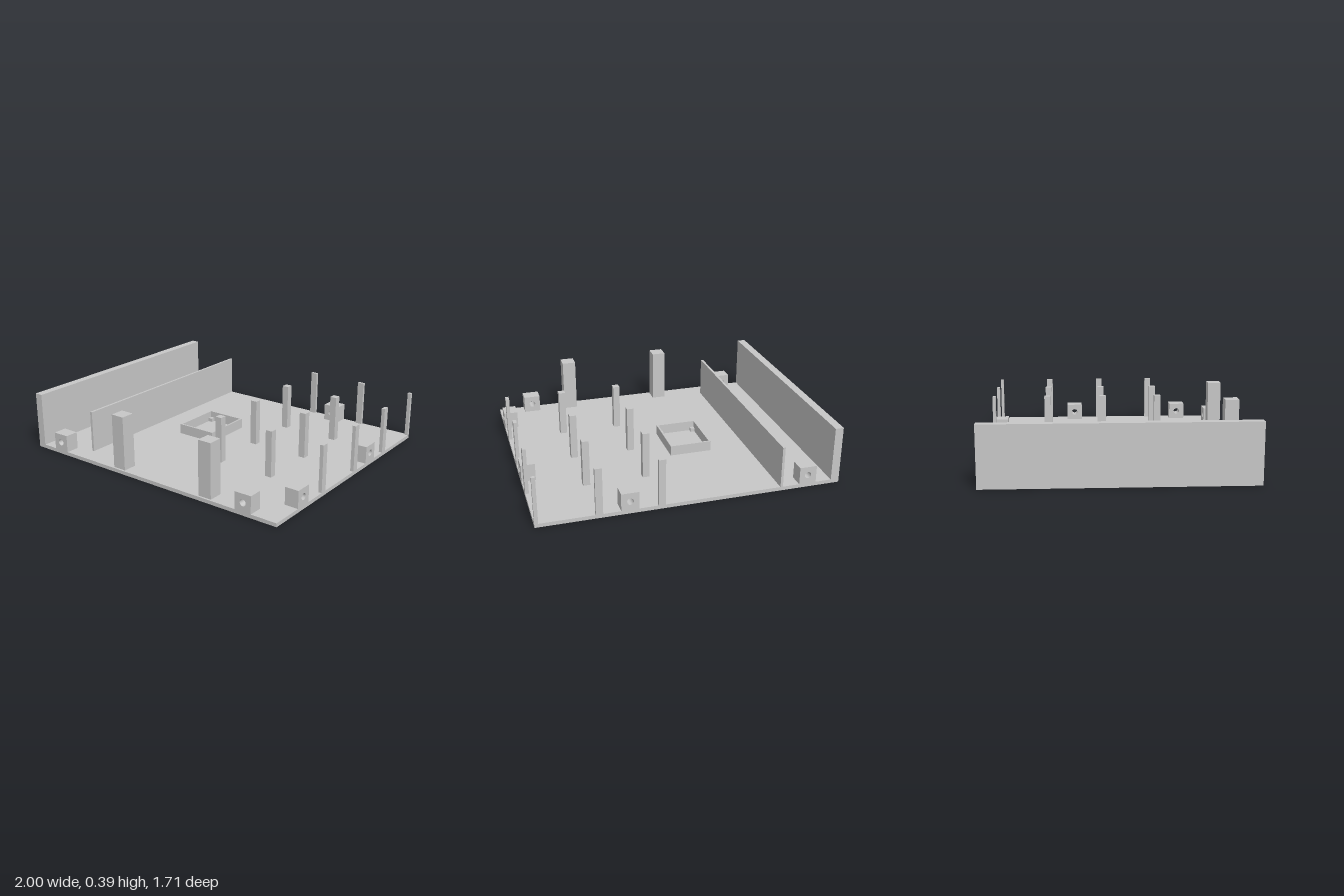
import * as THREE from 'three';

export function createModel() {
  const model = new THREE.Group();
  const gray = new THREE.MeshStandardMaterial({ color: 0xc7c7c7 });
  gray.name = 'light gray';
  const floor = 0.025;
  const back = -0.853, front = 0.853;

  const add = (name, geometry) => {
    const mesh = new THREE.Mesh(geometry, gray);
    mesh.name = name;
    model.add(mesh);
    return mesh;
  };
  // Box given by its limits on each axis
  const box = (name, x0, x1, y0, y1, z0, z1) =>
    add(name, new THREE.BoxGeometry(x1 - x0, y1 - y0, z1 - z0))
      .position.set((x0 + x1) / 2, (y0 + y1) / 2, (z0 + z1) / 2);
  const rect = (path, x0, x1, y0, y1) =>
    path.moveTo(x0, y0).lineTo(x1, y0).lineTo(x1, y1).lineTo(x0, y1).closePath();

  // Base plate and the two long walls
  box('basePlate', -1, 1, 0, floor, back, front);
  box('outerWall', -1, -0.944, floor, 0.392, back, front);
  box('thinWall', -0.605, -0.588, floor, 0.308, back, 0.73);

  // Grid of slim posts, cut off at the plate edges
  for (const [x0, x1] of [[0.181, 0.227], [0.579, 0.625], [0.976, 1]])
    for (const [z0, z1] of [[back, -0.832], [-0.482, -0.436], [-0.084, -0.038], [0.313, 0.359]])
      box('slimPost', x0, x1, floor, 0.34, z0, z1);

  // Two thick front posts
  for (const x of [-0.29, 0.419]) box('thickPost', x, x + 0.095, floor, 0.392, 0.744, 0.839);

  // Mounting blocks with a screw hole through them
  const blockShape = new THREE.Shape();
  rect(blockShape, -0.058, 0.058, floor, 0.142);
  const hole = new THREE.Path();
  hole.absarc(0, 0.083, 0.022, 0, Math.PI * 2, true);
  blockShape.holes.push(hole);
  const blockGeometry = new THREE.ExtrudeGeometry(blockShape, { depth: 0.094, bevelEnabled: false, curveSegments: 24 });
  blockGeometry.translate(0, 0, -0.047);
  for (const [x, z, turn] of [
    [-0.777, 0.806, 0], [0.761, 0.806, 0], [-0.777, -0.806, 0], [0.408, -0.806, 0],
    [0.953, -0.26, Math.PI / 2], [0.953, 0.569, Math.PI / 2],
  ]) {
    const block = add('mountingBlock', blockGeometry);
    block.position.set(x, 0, z);
    block.rotation.y = turn;
  }

  // Open rectangular tray rim; shape y runs along -z
  const rim = new THREE.Shape();
  rect(rim, -0.33, -0.04, -0.115, 0.24);
  const opening = new THREE.Path();
  rect(opening, -0.318, -0.052, -0.103, 0.228);
  rim.holes.push(opening);
  const rimGeometry = new THREE.ExtrudeGeometry(rim, { depth: 0.095 - floor, bevelEnabled: false });
  rimGeometry.rotateX(-Math.PI / 2).translate(0, floor, 0);
  add('trayRim', rimGeometry);

  // Low supports in the tray corners
  for (const x of [-0.318, -0.082])
    for (const z of [-0.228, 0.073]) box('traySupport', x, x + 0.03, floor, 0.05, z, z + 0.03);

  return model;
}
